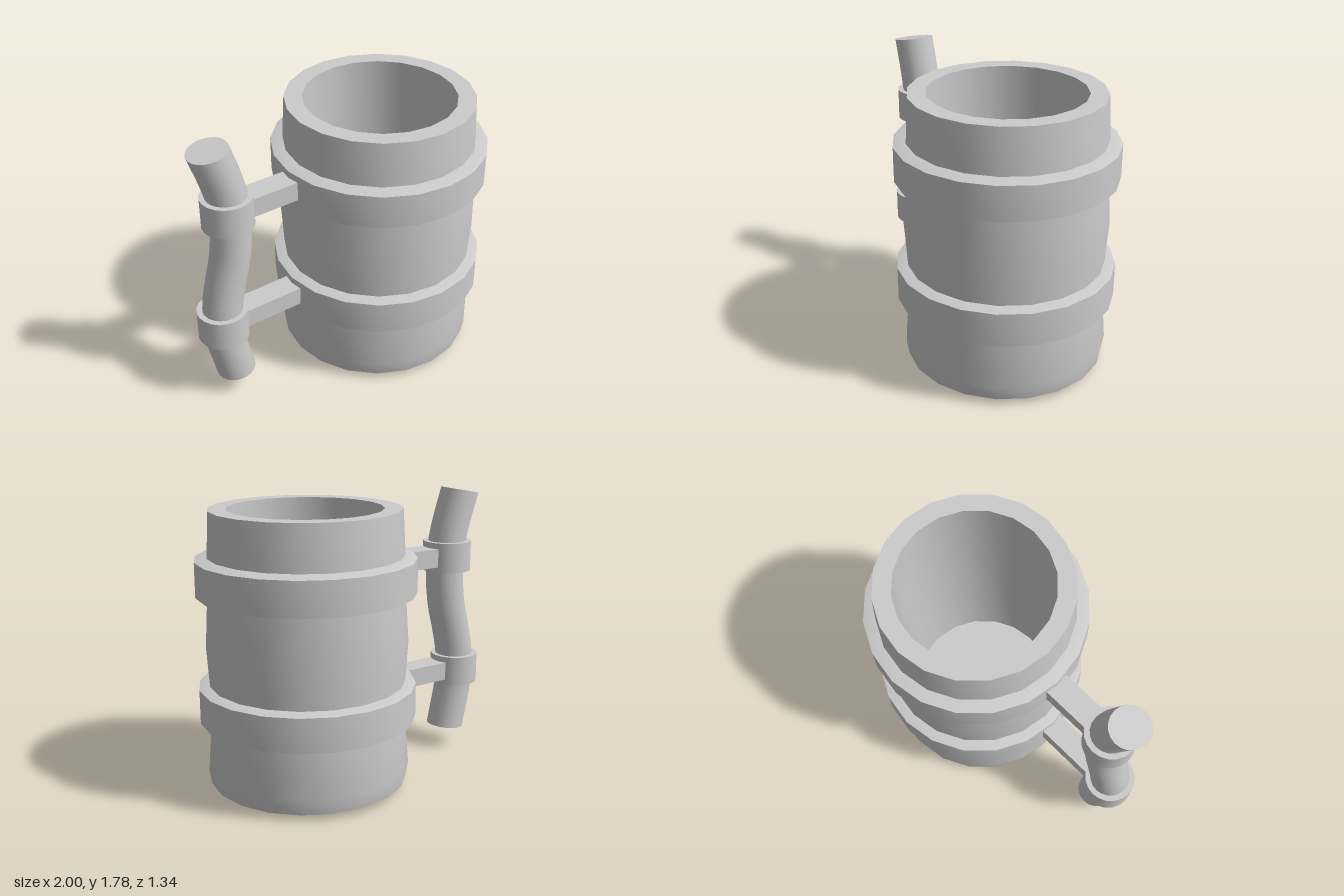
import * as THREE from 'three';
import { toCreasedNormals } from 'three/addons/utils/BufferGeometryUtils.js';

const SIDES = 20;
const MUG_X = 0.33;

export function createModel() {
  const group = new THREE.Group();
  const material = new THREE.MeshStandardMaterial({ color: 0xcccccc });

  function add(name, geometry, x = 0, y = 0) {
    const mesh = new THREE.Mesh(geometry, material);
    mesh.name = name;
    mesh.position.set(x, y, 0);
    group.add(mesh);
  }

  function lathe(profile) {
    const points = profile.map(([r, y]) => new THREE.Vector2(r, y));
    return toCreasedNormals(new THREE.LatheGeometry(points, SIDES), 0.6);
  }

  // Hollow barrel: underside, bulging outer wall, rim, inner wall and floor
  add('mugBody', lathe([
    [0, 0], [0.53, 0], [0.615, 0.04], [0.63, 0.13], [0.605, 0.42], [0.605, 0.67],
    [0.62, 0.92], [0.602, 1.21], [0.595, 1.45], [0.58, 1.73],
    [0.47, 1.73], [0.47, 0.12], [0, 0.12],
  ]), MUG_X);

  // Each hoop has an arm reaching out to a collar around the handle
  const hoops = [
    { name: 'lower', y: 0.55, collarX: -0.845 },
    { name: 'upper', y: 1.332, collarX: -0.76 },
  ];
  for (const { name, y, collarX } of hoops) {
    add(name + 'Hoop', lathe([
      [0.57, -0.125], [0.6, -0.123], [0.67, -0.108],
      [0.67, 0.103], [0.6, 0.122], [0.57, 0.123],
    ]), MUG_X, y);
    const start = collarX + 0.13, end = -0.27;
    add(name + 'Arm', new THREE.BoxGeometry(end - start, 0.12, 0.155), (start + end) / 2, y);
    add(name + 'Collar', new THREE.CylinderGeometry(0.157, 0.157, 0.195, SIDES), collarX, y);
  }

  // Wavy handle: a cylinder bent along a curve
  const curve = new THREE.CatmullRomCurve3([
    [-0.78, 0.14], [-0.842, 0.45], [-0.843, 0.65], [-0.808, 0.83],
    [-0.765, 1.0], [-0.745, 1.2], [-0.755, 1.4], [-0.79, 1.55], [-0.857, 1.753],
  ].map(([x, y]) => new THREE.Vector3(x, y, 0)));
  const handle = new THREE.CylinderGeometry(0.123, 0.123, 1, SIDES, 20);
  const { position, normal } = handle.attributes;
  for (let i = 0; i < position.count; i++) {
    const u = THREE.MathUtils.clamp(position.getY(i) + 0.5, 0, 1);
    const centre = curve.getPointAt(u);
    const along = curve.getTangentAt(u);
    along.x *= 0.6;
    along.normalize();
    const r = position.getX(i), nx = normal.getX(i), ny = normal.getY(i);
    position.setXY(i, centre.x + along.y * r, centre.y - along.x * r);
    normal.setXY(i, along.y * nx + along.x * ny, along.y * ny - along.x * nx);
  }
  add('handle', handle);

  return group;
}
